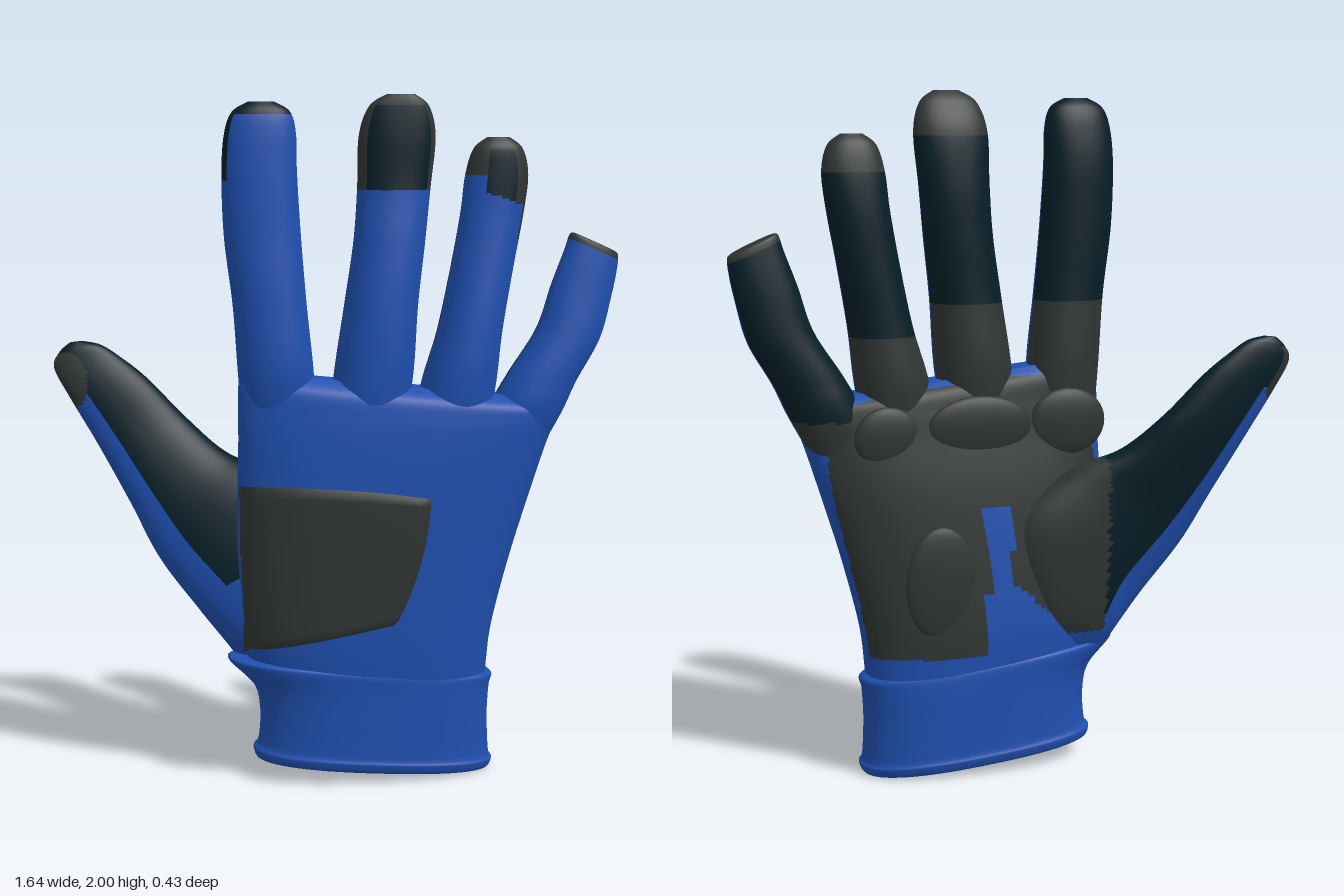
import * as THREE from 'three';

const flat = (name, color) => {
  const m = new THREE.MeshStandardMaterial({ color });
  m.name = name;
  return m;
};

// colour slots used by the rules below
const BLUE = 0, GREY = 1, DARK = 2;

// Catmull-Rom blend of section numbers at parameter v
function sectionAt(secs, v) {
  const n = secs.length - 1, i = Math.min(Math.floor(v), n - 1), f = v - i;
  const [p, q, r, s] = [-1, 0, 1, 2].map(k => secs[Math.min(Math.max(i + k, 0), n)]);
  return q.map((_, k) => q[k] + 0.5 * f * (r[k] - p[k] +
    f * (2 * p[k] - 5 * q[k] + 4 * r[k] - s[k] + f * (3 * (q[k] - r[k]) + s[k] - p[k]))));
}

// Closed loft. Each section is [ax, ay, bx, by, zFront, zBack]: a flattened
// oval spanning from a to b. rule(point, cos, sin, v) picks a colour per face.
function loft(name, mats, secs, rule, { power = 2.2, sides = 80, steps = 14 } = {}) {
  const rows = (secs.length - 1) * steps, pos = [], idx = [[], [], []];
  const bend = c => Math.sign(c) * Math.abs(c) ** (2 / power);
  for (let j = 0; j <= rows; j++) {
    const [ax, ay, bx, by, zf, zb] = sectionAt(secs, j / steps);
    for (let i = 0; i < sides; i++) {
      const t = i / sides * Math.PI * 2, u = bend(Math.cos(t)) / 2, w = bend(Math.sin(t)) / 2;
      pos.push((ax + bx) / 2 + (bx - ax) * u, (ay + by) / 2 + (by - ay) * u,
        (zf + zb) / 2 + (zf - zb) * w);
    }
  }
  for (const v of [0, secs.length - 1]) {
    const [ax, ay, bx, by, zf, zb] = secs[v];
    pos.push((ax + bx) / 2, (ay + by) / 2, (zf + zb) / 2);
  }
  const P = k => new THREE.Vector3().fromArray(pos, k * 3);
  const first = (rows + 1) * sides, last = first + 1;
  for (let i = 0; i < sides; i++) {
    const n = (i + 1) % sides, t = (i + 0.5) / sides * Math.PI * 2;
    const c = Math.cos(t), s = Math.sin(t);
    for (let j = 0; j < rows; j++) {
      const a = j * sides + i, b = a + sides, d = j * sides + n, e = d + sides;
      const mid = P(a).add(P(e)).multiplyScalar(0.5);
      idx[rule(mid, c, s, (j + 0.5) / steps)].push(a, b, e, a, e, d);
    }
    const top = rows * sides;
    idx[rule(P(first), c, s, 0)].push(first, i, n);
    idx[rule(P(last), c, s, secs.length - 1)].push(last, top + n, top + i);
  }
  const geo = new THREE.BufferGeometry();
  geo.setAttribute('position', new THREE.Float32BufferAttribute(pos, 3));
  geo.setIndex(idx.flat());
  let start = 0;
  idx.forEach((list, k) => {
    if (list.length) geo.addGroup(start, list.length, k);
    start += list.length;
  });
  geo.computeVertexNormals();
  const mesh = new THREE.Mesh(geo, mats);
  mesh.name = name;
  return mesh;
}

// Four-cornered panel draped over the front of a mesh, with turned-down edges
// and slightly bowed top and right sides
function drapedPanel(name, mat, target, [tl, tr, bl, br], lift) {
  const geo = new THREE.PlaneGeometry(1, 1, 28, 24), p = geo.attributes.position;
  const ray = new THREE.Raycaster(), down = new THREE.Vector3(0, 0, -1);
  const mix = THREE.MathUtils.lerp;
  target.updateMatrixWorld(true);
  for (let k = 0; k < p.count; k++) {
    const u = p.getX(k) + 0.5, v = 0.5 - p.getY(k);
    const x = mix(mix(tl[0], tr[0], u), mix(bl[0], br[0], u), v) + 0.1 * u * v * (1 - v);
    const y = mix(mix(tl[1], tr[1], u), mix(bl[1], br[1], u), v) + 0.06 * u * (1 - u) * (1 - v);
    ray.set(new THREE.Vector3(x, y, 1), down);
    const hit = ray.intersectObject(target)[0];
    const edge = Math.min(u, 1 - u, v, 1 - v) < 0.001;
    p.setXYZ(k, x, y, (hit ? hit.point.z : 0.1) + (edge ? -0.004 : lift));
  }
  geo.computeVertexNormals();
  const mesh = new THREE.Mesh(geo, mat);
  mesh.name = name;
  return mesh;
}

export function createModel() {
  const glove = new THREE.Group();
  glove.name = 'glove';
  const mats = [flat('blue fabric', 0x1f4faf), flat('grey leather', 0x2f3533), flat('dark teal fabric', 0x061e27)];

  // cuff: inner wall, rolled rim, outer wall and overlapping top seam
  glove.add(loft('cuff', mats, [
    [-0.2, 0.3, 0.4, 0.26, 0.15, -0.06],
    [-0.23, 0.1, 0.41, 0.05, 0.18, -0.08],
    [-0.255, 0.06, 0.44, 0.002, 0.2, -0.1],
    [-0.265, 0.085, 0.455, 0.025, 0.213, -0.113],
    [-0.25, 0.11, 0.445, 0.05, 0.208, -0.108],
    [-0.245, 0.2, 0.44, 0.16, 0.205, -0.105],
    [-0.265, 0.28, 0.445, 0.25, 0.203, -0.103],
    [-0.34, 0.36, 0.453, 0.285, 0.203, -0.1],
    [-0.31, 0.37, 0.43, 0.3, 0.19, -0.085],
  ], (p, c, s, v) => v < 1.7 ? DARK : BLUE, { power: 2.4 }));

  // hand body: blue back; grey palm with a blue channel beside the thumb base
  const body = loft('handBody', mats, [
    [-0.24, 0.3, 0.43, 0.24, 0.197, -0.095],
    [-0.28, 0.36, 0.435, 0.33, 0.204, -0.099],
    [-0.3, 0.45, 0.45, 0.45, 0.208, -0.098],
    [-0.312, 0.65, 0.5, 0.65, 0.208, -0.08],
    [-0.312, 0.85, 0.56, 0.85, 0.207, -0.055],
    [-0.31, 1.0, 0.608, 1.0, 0.202, -0.025],
    [-0.31, 1.1, 0.637, 1.06, 0.195, -0.01],
    [-0.308, 1.18, 0.64, 1.09, 0.182, 0.005],
    [-0.28, 1.215, 0.58, 1.12, 0.14, 0.04],
  ], (p) => {
    if (p.x < -0.27 && p.z > 0.1 && p.y > 0.4 && p.y < 0.89) return GREY;
    if (p.z > 0.02 || p.y < 0.36) return BLUE;
    const channel = p.x > 0.02 && p.x < 0.1 && p.y < 0.8;
    return channel || (p.x < 0.1 && p.y < 0.55 + 0.82 * p.x) ? BLUE : GREY;
  }, { power: 2.5, sides: 128 });
  glove.add(body);

  glove.add(drapedPanel('backPanel', mats[GREY], body,
    [[-0.306, 0.895], [0.24, 0.85], [-0.3, 0.39], [0.135, 0.475]], 0.008));

  // raised palm pads: x, y, z, half sizes
  [['heelPad', 0.24, 0.58, -0.075, 0.11, 0.17, 0.025],
    ['middlePalmPad', 0.1, 1.03, -0.015, 0.16, 0.09, 0.025],
    ['indexPalmPad', -0.18, 1.03, -0.005, 0.12, 0.1, 0.028],
    ['littlePalmPad', 0.38, 1.01, -0.005, 0.1, 0.09, 0.025],
  ].forEach(([name, x, y, z, a, b, c]) => {
    const pad = new THREE.Mesh(new THREE.SphereGeometry(1, 32, 20), mats[GREY]);
    pad.name = name;
    pad.position.set(x, y, z);
    pad.scale.set(a, b, c);
    glove.add(pad);
  });

  // fingers: blue outside; grey then dark teal on the palm side
  const palmSide = (c, s) => s < (c > 0 ? 0.1 : -0.1);
  const underside = (y, limit) => y < limit ? GREY : DARK;
  glove.add(loft('indexFinger', mats, [
    [-0.29, 1.0, -0.08, 1.0, 0.14, 0],
    [-0.308, 1.2, -0.09, 1.2, 0.176, -0.01],
    [-0.322, 1.4, -0.11, 1.4, 0.167, -0.002],
    [-0.345, 1.6, -0.125, 1.6, 0.15, 0],
    [-0.35, 1.78, -0.135, 1.78, 0.138, 0.004],
    [-0.342, 1.89, -0.138, 1.89, 0.128, 0.02],
    [-0.32, 1.95, -0.155, 1.95, 0.115, 0.04],
    [-0.275, 1.978, -0.2, 1.978, 0.095, 0.065],
  ], (p, c, s) => {
    if (p.y > 1.945 || (c < -0.88 && p.y > 1.76)) return DARK;
    return palmSide(c, s) ? underside(p.y, 1.39) : BLUE;
  }));

  glove.add(loft('middleFinger', mats, [
    [-0.05, 1.0, 0.17, 1.0, 0.18, 0],
    [-0.03, 1.2, 0.2, 1.2, 0.193, -0.01],
    [0, 1.4, 0.213, 1.4, 0.185, 0],
    [0.028, 1.58, 0.235, 1.58, 0.165, 0.002],
    [0.04, 1.73, 0.252, 1.73, 0.143, 0.006],
    [0.043, 1.88, 0.266, 1.88, 0.133, 0.025],
    [0.07, 1.965, 0.245, 1.965, 0.123, 0.06],
    [0.12, 2.0, 0.2, 2.0, 0.115, 0.09],
  ], (p, c, s) => {
    if (palmSide(c, s)) return p.y > 1.87 ? GREY : underside(p.y, 1.39);
    if (p.y < 1.73) return BLUE;
    return p.y > 1.97 || Math.abs(c) > 0.82 ? GREY : DARK;
  }));

  glove.add(loft('ringFinger', mats, [
    [0.2, 1.0, 0.42, 1.0, 0.175, 0],
    [0.23, 1.17, 0.448, 1.17, 0.187, -0.008],
    [0.275, 1.32, 0.465, 1.32, 0.178, 0],
    [0.315, 1.5, 0.498, 1.5, 0.155, 0.004],
    [0.345, 1.66, 0.53, 1.66, 0.135, 0.008],
    [0.358, 1.77, 0.543, 1.77, 0.125, 0.02],
    [0.38, 1.845, 0.525, 1.845, 0.115, 0.04],
    [0.42, 1.878, 0.485, 1.878, 0.095, 0.065],
  ], (p, c, s) => {
    if (palmSide(c, s)) return p.y > 1.77 ? GREY : underside(p.y, 1.3);
    if (p.y > 1.845 || (c > 0.85 && p.y > 1.58) || (c > 0.55 && p.y > 1.69)) return GREY;
    if (c < -0.4) return p.y > 1.77 ? GREY : BLUE;
    return p.y > 1.71 - 0.03 * c ? DARK : BLUE;
  }));

  glove.add(loft('littleFinger', mats, [
    [0.38, 0.95, 0.57, 0.93, 0.14, 0.01],
    [0.44, 1.1, 0.647, 1.07, 0.166, -0.002],
    [0.49, 1.19, 0.695, 1.17, 0.162, 0.002],
    [0.575, 1.32, 0.765, 1.29, 0.145, 0.01],
    [0.62, 1.45, 0.8, 1.41, 0.125, 0.02],
    [0.658, 1.55, 0.817, 1.49, 0.112, 0.03],
    [0.675, 1.598, 0.82, 1.535, 0.103, 0.038],
    [0.695, 1.597, 0.8, 1.55, 0.09, 0.05],
  ], (p, c, s, v) => v > 5.6 ? GREY : s < -0.1 ? underside(p.y, 1.06) : BLUE));

  // thumb with its fleshy base: dark inside, blue outer edge, grey base and tip patch
  glove.add(loft('thumb', mats, [
    [-0.3, 0.34, -0.06, 0.36, 0.05, -0.06],
    [-0.335, 0.39, -0.01, 0.52, 0.1, -0.1],
    [-0.42, 0.5, 0.01, 0.74, 0.1, -0.118],
    [-0.53, 0.65, -0.18, 0.89, 0.04, -0.135],
    [-0.61, 0.81, -0.32, 0.95, -0.02, -0.168],
    [-0.7, 0.98, -0.435, 1.05, -0.08, -0.2],
    [-0.78, 1.12, -0.55, 1.17, -0.12, -0.214],
    [-0.822, 1.205, -0.63, 1.235, -0.146, -0.214],
    [-0.805, 1.25, -0.685, 1.27, -0.16, -0.208],
    [-0.775, 1.277, -0.735, 1.281, -0.175, -0.198],
  ], (p, c, s, v) => {
    if (s > -0.75 && Math.hypot((p.x + 0.785) / 0.058, (p.y - 1.165) / 0.085) < 1) return GREY;
    if (p.y < 0.4) return BLUE;
    if (s < 0.2 && p.x > -0.27) return GREY;
    if (v < 6 && c < -0.5) return BLUE;
    return s > 0 && v < 2.2 ? BLUE : DARK;
  }));

  return glove;
}
